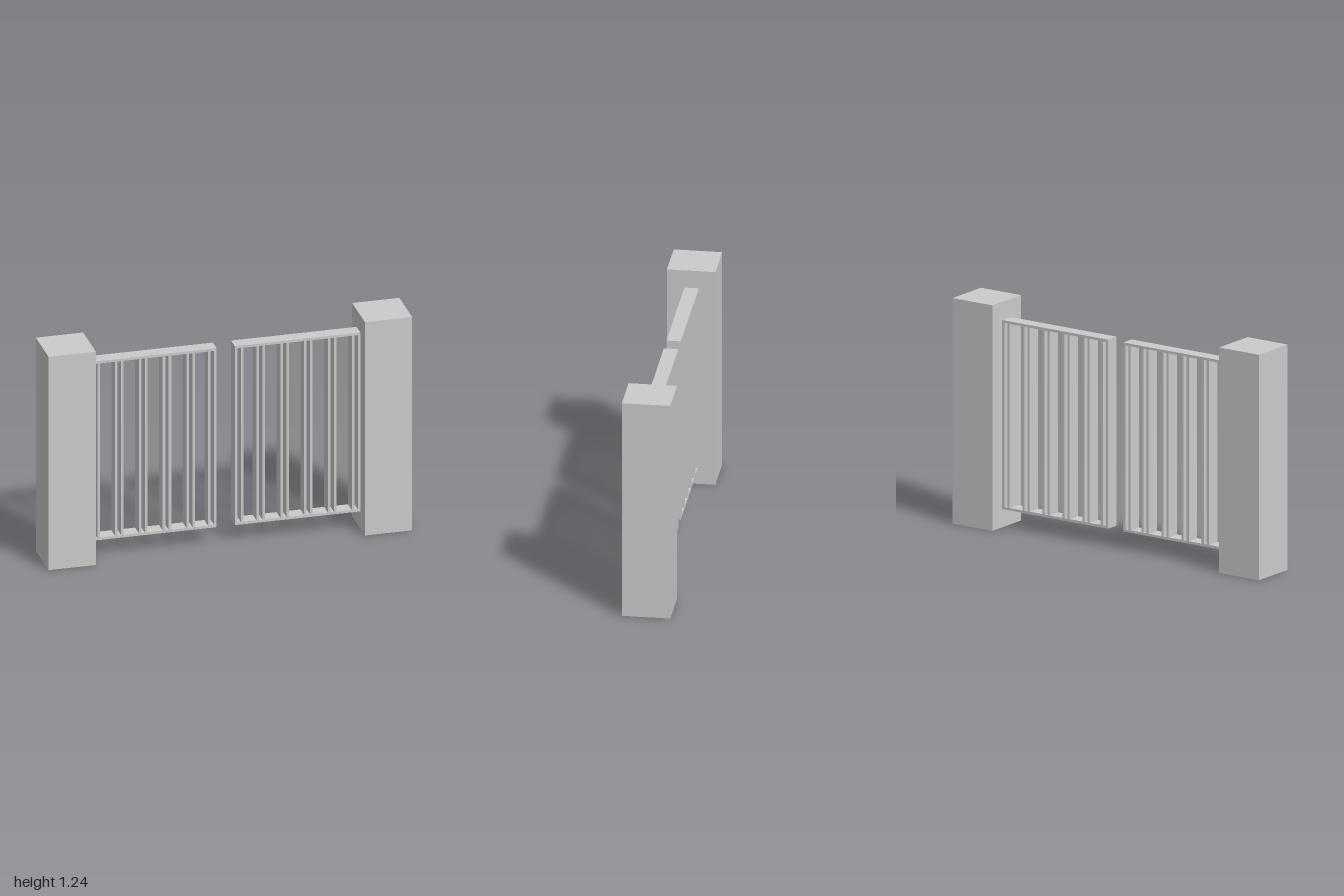
import * as THREE from 'three';

const material = new THREE.MeshStandardMaterial({ color: 0xcccccc, flatShading: true });

const POST_W = 0.26, POST_H = 1.24;
const INNER = 0.05, OUTER = 1 - POST_W; // gate leaf extent in x
const BOTTOM = 0.1, TOP = 1.14, DEPTH = 0.077;
const BAR = 0.014; // bar and rail thickness
const PAIR_GAP = 0.033; // distance between the bars of a pair
const PAIR_STEP = 0.131;

// Counter-clockwise rectangle, whichever way round the x values come
function rectangle(path, xa, y0, xb, y1) {
  const x0 = Math.min(xa, xb), x1 = Math.max(xa, xb);
  path.moveTo(x0, y0);
  path.lineTo(x1, y0);
  path.lineTo(x1, y1);
  path.lineTo(x0, y1);
  path.closePath();
  return path;
}

// One leaf: a frame pierced by the openings between its paired bars
function gateLeaf(side) {
  const bars = [INNER, INNER + PAIR_GAP];
  for (let i = 4; i >= 0; i--) {
    const x = OUTER - BAR - i * PAIR_STEP;
    bars.push(x - PAIR_GAP, x);
  }
  const shape = rectangle(new THREE.Shape(), side * INNER, BOTTOM, side * OUTER, TOP);
  for (let i = 0; i < bars.length - 1; i++) {
    shape.holes.push(rectangle(new THREE.Path(),
      side * (bars[i] + BAR), BOTTOM + BAR, side * bars[i + 1], TOP - BAR));
  }
  const geometry = new THREE.ExtrudeGeometry(shape, { depth: DEPTH, bevelEnabled: false });
  geometry.translate(0, 0, -0.002 - DEPTH / 2);
  return new THREE.Mesh(geometry, material);
}

export function createModel() {
  const model = new THREE.Group();
  model.name = 'doubleGate';
  for (const [side, label] of [[1, 'left'], [-1, 'right']]) {
    // Square pillar
    const post = new THREE.Mesh(new THREE.BoxGeometry(POST_W, POST_H, POST_W), material);
    post.position.set(side * (1 - POST_W / 2), POST_H / 2, 0);
    post.name = label + 'Post';

    // Barred leaf
    const leaf = gateLeaf(side);
    leaf.name = label + 'GateLeaf';
    model.add(post, leaf);
  }
  return model;
}
